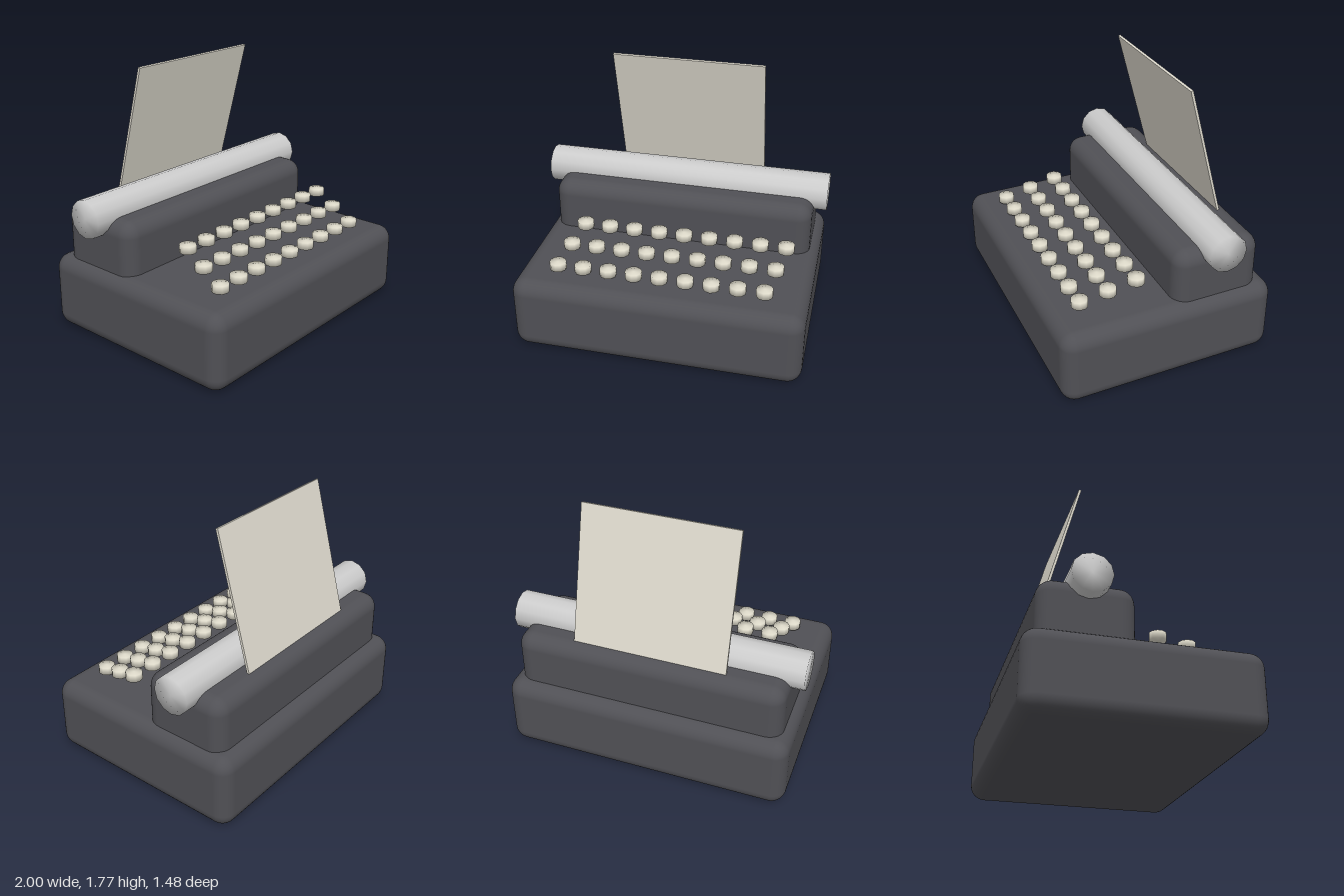
import * as THREE from 'three';
import { RoundedBoxGeometry } from 'three/addons/geometries/RoundedBoxGeometry.js';
import { mergeVertices } from 'three/addons/utils/BufferGeometryUtils.js';

const mat = (color) => new THREE.MeshStandardMaterial({ color });

// Low-poly cylinder with normals blended over its rims
function softCylinder(radius, height, sides) {
  let g = new THREE.CylinderGeometry(radius, radius, height, sides);
  g.deleteAttribute('normal');
  g.deleteAttribute('uv');
  g = mergeVertices(g);
  g.computeVertexNormals();
  return g;
}

export function createModel() {
  const model = new THREE.Group();
  const add = (name, geometry, material, x, y, z, parent = model) => {
    const mesh = new THREE.Mesh(geometry, material);
    mesh.name = name;
    mesh.position.set(x, y, z);
    parent.add(mesh);
    return mesh;
  };
  const bodyMat = mat(0x505055);
  const keyMat = mat(0xe0dccc);

  // Body: wide base and the raised carriage housing behind the keys
  add('base', new RoundedBoxGeometry(1.956, 0.52, 1.48, 4, 0.1), bodyMat, 0, 0.26, 0);
  add('carriageHousing', new RoundedBoxGeometry(1.826, 0.48, 0.605, 4, 0.1), bodyMat, 0, 0.63, -0.348);

  // Roller lying across the housing
  const roller = add('roller', softCylinder(0.13, 2, 12), mat(0xcccccc), 0, 0.871, -0.348);
  roller.rotation.z = Math.PI / 2;

  // Paper sheet leaning forward, its lower edge tucked into the housing
  const tilt = 0.262, length = 1.04;
  const paper = add('paper', new THREE.BoxGeometry(1.04, length, 0.017), mat(0xdedace), 0,
    1.77 - Math.cos(tilt) * length / 2, -0.313 - Math.sin(tilt) * length / 2);
  paper.rotation.x = tilt;

  // Three stepped, staggered rows of round keys
  const keys = new THREE.Group();
  keys.name = 'keys';
  model.add(keys);
  const keyGeometry = softCylinder(0.0565, 0.052, 10);
  for (let row = 0; row < 3; row++) {
    for (let i = 0; i < 9; i++) {
      add('key', keyGeometry, keyMat, -0.698 + row * 0.0435 + i * 0.174,
        0.57 + row * 0.0645, 0.521 - row * 0.174, keys);
    }
  }
  return model;
}
